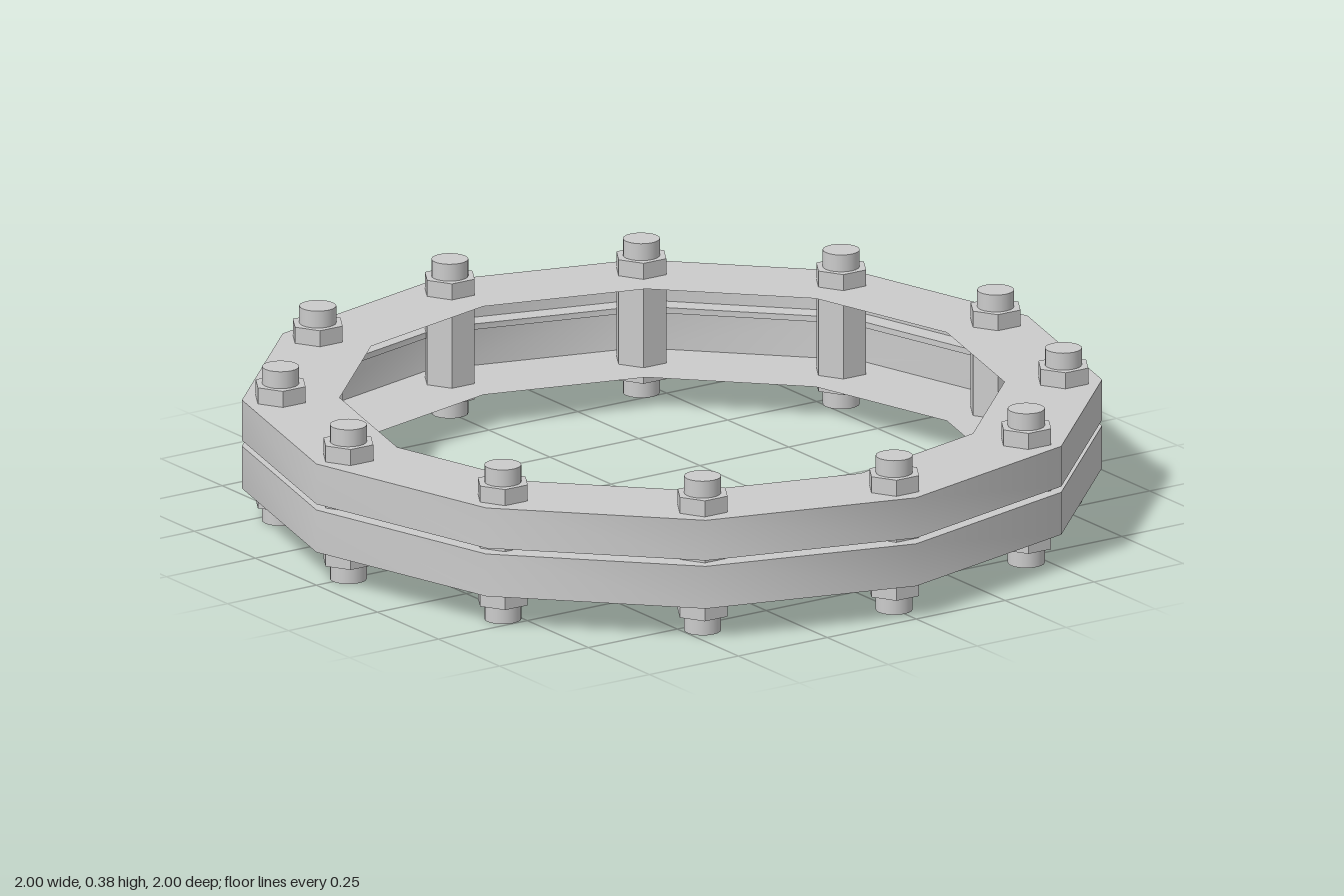
import * as THREE from 'three';
import { toCreasedNormals } from 'three/addons/utils/BufferGeometryUtils.js';

const SIDES = 12;

export function createModel() {
  const model = new THREE.Group();
  const shell = new THREE.MeshStandardMaterial({ color: 0xcccccc, side: THREE.DoubleSide });
  const flat = new THREE.MeshStandardMaterial({ color: 0xcccccc, flatShading: true });
  const smooth = new THREE.MeshStandardMaterial({ color: 0xcccccc });

  // Twelve-sided channel, open towards the centre, with a groove around the middle
  const profile = [
    [0.773, 0.08], [1, 0.08], [1, 0.183], [0.95, 0.183],
    [0.95, 0.197], [1, 0.197], [1, 0.295], [0.773, 0.295],
  ].map(([r, y]) => new THREE.Vector2(r, y));
  const ring = new THREE.Mesh(
    toCreasedNormals(new THREE.LatheGeometry(profile, SIDES), 0.7), shell);
  ring.name = 'flangeRing';
  model.add(ring);

  // Bolts at the corners: a hexagonal column with a round rod showing at both ends
  const hexGeometry = new THREE.CylinderGeometry(0.064, 0.064, 0.293, 6, 1, false, Math.PI / 2);
  const rodGeometry = new THREE.CylinderGeometry(0.043, 0.043, 0.375, 20);
  for (let i = 0; i < SIDES; i++) {
    const a = (i / SIDES) * Math.PI * 2;
    const bolt = new THREE.Group();
    bolt.name = `bolt${i + 1}`;
    const hex = new THREE.Mesh(hexGeometry, flat);
    hex.name = 'hexColumn';
    const rod = new THREE.Mesh(rodGeometry, smooth);
    rod.name = 'rod';
    bolt.add(hex, rod);
    bolt.position.set(Math.sin(a) * 0.91, 0.1875, Math.cos(a) * 0.91);
    model.add(bolt);
  }
  return model;
}
